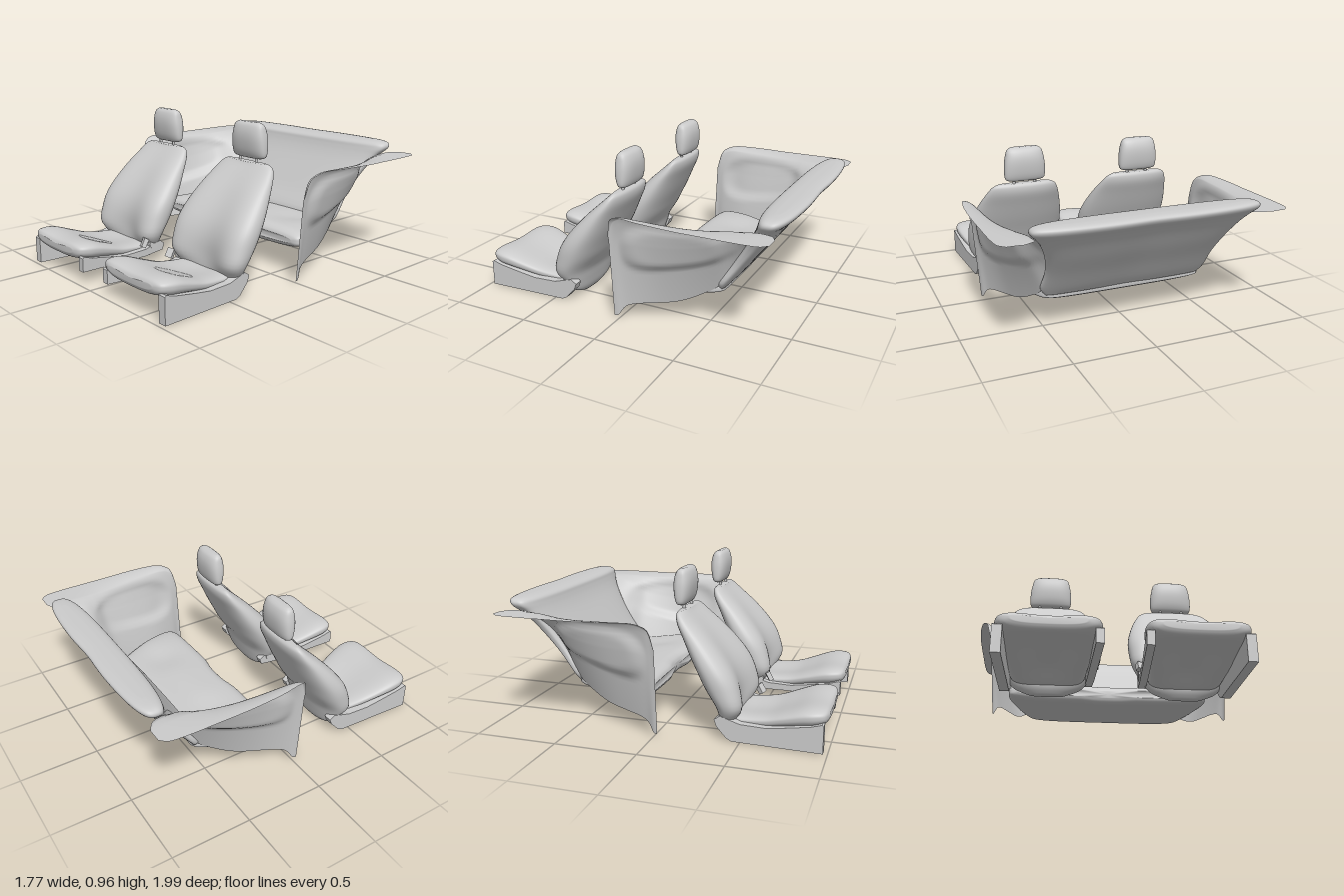
import * as THREE from 'three';

const grey = new THREE.MeshStandardMaterial({ color: 0xcccccc });
const thin = new THREE.MeshStandardMaterial({ color: 0xcccccc, side: THREE.DoubleSide });
const bell = (d) => Math.exp(-d * d);

// Smooth lookup between rows of numbers, u in 0..1
function sample(rows, u) {
  const f = u * (rows.length - 1);
  const i = Math.min(Math.floor(f), rows.length - 2), t = f - i;
  const row = (k) => rows[Math.max(0, Math.min(rows.length - 1, k))];
  return rows[0].map((_, k) => {
    const a = row(i - 1)[k], b = row(i)[k], c = row(i + 1)[k], d = row(i + 2)[k];
    return b + 0.5 * t * (c - a + t * (2 * a - 5 * b + 4 * c - d + t * (3 * (b - c) + d - a)));
  });
}

// Rounded-square point of unit size; a higher power gives squarer corners
function roundSquare(a, power) {
  const c = Math.cos(a), s = Math.sin(a);
  const r = Math.pow(Math.abs(c) ** power + Math.abs(s) ** power, 1 / power);
  return [c / r, s / r];
}

// Closed padded body: point(row, X, Y) places each unit cross-section point
function loft(name, rows, power, point, rings = 36, seg = 56) {
  const pos = [], index = [];
  for (let i = 0; i <= rings; i++) {
    const row = sample(rows, i / rings);
    for (let j = 0; j < seg; j++) {
      const [X, Y] = roundSquare((j / seg) * Math.PI * 2, power);
      pos.push(...point(row, X, Y));
    }
  }
  for (let i = 0; i < rings; i++) for (let j = 0; j < seg; j++) {
    const a = i * seg + j, b = i * seg + ((j + 1) % seg), c = a + seg, d = b + seg;
    index.push(a, c, b, b, c, d);
  }
  pos.push(...point(rows[0], 0, 0), ...point(rows[rows.length - 1], 0, 0));
  const n = (rings + 1) * seg, last = rings * seg;
  for (let j = 0; j < seg; j++) {
    const k = (j + 1) % seg;
    index.push(n, j, k, n + 1, last + k, last + j);
  }
  // Turn the faces outward if the enclosed volume comes out negative
  let volume = 0;
  const P = (i) => new THREE.Vector3().fromArray(pos, i * 3);
  for (let i = 0; i < index.length; i += 3)
    volume += P(index[i]).dot(P(index[i + 1]).cross(P(index[i + 2])));
  if (volume < 0) index.reverse();
  const g = new THREE.BufferGeometry();
  g.setAttribute('position', new THREE.Float32BufferAttribute(pos, 3));
  g.setIndex(index);
  g.computeVertexNormals();
  return mesh(name, g);
}

function mesh(name, geometry, material = grey) {
  const m = new THREE.Mesh(geometry, material);
  m.name = name;
  return m;
}

// Upright plate drawn as [z, y] points, centred on x at its front end and toeing in to the rear
function plate(name, points, width, x) {
  const shape = new THREE.Shape(points.map(([z, y]) => new THREE.Vector2(z, y)));
  const g = new THREE.ExtrudeGeometry(shape, { depth: width, bevelEnabled: false });
  const toe = 0.045 * Math.sign(x);
  g.rotateY(-Math.PI / 2).applyMatrix4(new THREE.Matrix4().makeShear(0, 0, 0, 0, toe, 0));
  g.translate(x + width / 2 - toe * 0.975, 0, 0);
  return mesh(name, g);
}

function frontSeat(side) {
  const seat = new THREE.Group();
  seat.name = side > 0 ? 'leftFrontSeat' : 'rightFrontSeat';

  // Reclined backrest with side bolsters: y, front z, back z, half width, recess
  const back = [
    [0.008, 0.425, 0.385, 0.10, 0], [0.05, 0.45, 0.36, 0.195, 0], [0.12, 0.485, 0.34, 0.25, 0.03],
    [0.20, 0.54, 0.315, 0.30, 0.09], [0.30, 0.525, 0.25, 0.315, 0.085], [0.39, 0.485, 0.205, 0.317, 0.075],
    [0.48, 0.415, 0.16, 0.302, 0.06], [0.58, 0.315, 0.115, 0.272, 0.04], [0.66, 0.22, 0.08, 0.24, 0.02],
    [0.71, 0.16, 0.075, 0.21, 0.01], [0.73, 0.135, 0.09, 0.17, 0],
  ];
  seat.add(loft('backrest', back, 2.4, ([y, zf, zb, hw, dip], X, Z) => {
    const zm = zb + 0.5 * (zf - zb);
    return [X * hw, y, zm + Z * (Z > 0 ? zf - zm : zm - zb) - dip * Math.max(0, Z) * (1 - X * X) ** 2];
  }));

  // Cushion, hollow beneath: z, half width, top y, bottom y
  const cushion = [
    [0.38, 0.18, 0.13, 0.07], [0.45, 0.215, 0.155, 0.05], [0.55, 0.225, 0.16, 0.065],
    [0.65, 0.24, 0.175, 0.08], [0.75, 0.265, 0.21, 0.10], [0.85, 0.285, 0.247, 0.115],
    [0.92, 0.285, 0.258, 0.125], [0.975, 0.26, 0.25, 0.145], [0.995, 0.20, 0.225, 0.175],
  ];
  seat.add(loft('cushion', cushion, 2.7, ([z, hw, top, bottom], X, Y) => {
    const ym = bottom + 0.62 * (top - bottom);
    const y = ym + Y * (Y > 0 ? top - ym : ym - bottom);
    const hollow = 0.06 * Math.max(0, -Y) * bell(((z - 0.7) / 0.2) ** 2);
    return [X * hw, y + (hollow - 0.02 * Math.max(0, Y)) * (1 - X * X) ** 2, z];
  }));

  // Headrest: y, half depth, half width, centre z
  const head = [
    [0.75, 0.02, 0.10, 0.092], [0.762, 0.034, 0.127, 0.092], [0.80, 0.048, 0.134, 0.093],
    [0.86, 0.056, 0.132, 0.094], [0.91, 0.053, 0.124, 0.095], [0.95, 0.038, 0.112, 0.097], [0.967, 0.016, 0.085, 0.10],
  ];
  seat.add(loft('headrest', head, 2.8, ([y, hz, hw, z], X, Z) => [X * hw, y, z + Z * hz], 20, 40));
  for (const x of [-0.07, 0.07]) {
    const post = mesh('headrestPost', new THREE.CylinderGeometry(0.01, 0.01, 0.1, 12));
    post.position.set(x, 0.735, 0.105);
    seat.add(post);
  }

  // Deep outer side cover, slim inner rail
  const edge = [[0.975, 0.17], [0.965, 0.178], [0.9, 0.158], [0.75, 0.132], [0.65, 0.117], [0.5, 0.12], [0.38, 0.155], [0.345, 0.13]];
  seat.add(plate('outerSideCover', [[0.975, 0.01], ...edge, [0.36, 0.09], [0.42, 0.025], [0.45, 0.01]], 0.055, side * 0.266));
  seat.add(plate('innerRail', [[0.975, 0.085], ...edge, [0.36, 0.09], [0.5, 0.075]], 0.045, side * -0.268));

  // Backrest hinge and its lever
  const hinge = mesh('reclineHinge', new THREE.CylinderGeometry(0.035, 0.035, 0.03, 16));
  hinge.rotation.z = Math.PI / 2;
  hinge.position.set(side * -0.255, 0.145, 0.43);
  const lever = mesh('reclineLever', new THREE.BoxGeometry(0.045, 0.06, 0.03));
  lever.rotation.set(-0.5, side * 0.4, 0);
  lever.position.set(side * -0.265, 0.165, 0.505);
  seat.add(hinge, lever);

  seat.position.x = side * 0.4;
  return seat;
}

function rearBench() {
  const bench = new THREE.Group();
  bench.name = 'rearBench';

  // Cushion with two shallow seats and a notch in the front: z, half width, top y, bottom y
  const cushion = [
    [-0.575, 0.49, 0.245, 0.205], [-0.53, 0.525, 0.275, 0.185], [-0.4, 0.585, 0.29, 0.18], [-0.3, 0.62, 0.30, 0.175],
    [-0.2, 0.645, 0.30, 0.168], [-0.13, 0.65, 0.295, 0.165], [-0.09, 0.635, 0.275, 0.18], [-0.075, 0.59, 0.25, 0.205],
  ];
  bench.add(loft('rearCushion', cushion, 4, ([z, hw, top, bottom], X, Y) => {
    const x = X * hw, up = Math.max(0, Y);
    const dip = 0.02 * up * bell((Math.abs(x) - 0.34) / 0.13) * bell((z + 0.33) / 0.12);
    const notch = 0.022 * bell((x / 0.14) ** 2) * bell((z + 0.075) / 0.08);
    return [x, (top + bottom) / 2 + (Y * (top - bottom)) / 2 - dip, z - notch];
  }, 36, 88));

  // Leaning back with a wide rolled top: y, front z, back z, half width
  const back = [
    [0.23, -0.54, -0.585, 0.50], [0.28, -0.52, -0.63, 0.535], [0.40, -0.60, -0.72, 0.535], [0.52, -0.675, -0.815, 0.56],
    [0.62, -0.735, -0.89, 0.605], [0.68, -0.765, -0.94, 0.65], [0.72, -0.78, -0.98, 0.688],
    [0.748, -0.79, -0.993, 0.687], [0.764, -0.82, -0.975, 0.65], [0.77, -0.87, -0.93, 0.56],
  ];
  bench.add(loft('rearBackrest', back, 3.2, ([y, zf, zb, hw], X, Z) => {
    const dent = 0.01 * Math.max(0, -Z) * bell((X * hw) / 0.15);
    return [X * hw, y, (zf + zb) / 2 + (Z * (zf - zb)) / 2 + dent];
  }, 36, 80));
  return bench;
}

// Thin side trim: sloping wall with an armrest hollow, flaring to a ledge on top
function sideTrim(side) {
  // z, bottom y, top y, wall x at the bottom, wall x under the ledge, ledge outer x
  const rows = [
    [0.025, 0.03, 0.55, 0.735, 0.775, 0.785], [0.0, 0.035, 0.655, 0.73, 0.775, 0.81], [-0.04, 0.09, 0.69, 0.71, 0.775, 0.835],
    [-0.1, 0.11, 0.705, 0.685, 0.77, 0.855], [-0.2, 0.12, 0.705, 0.645, 0.76, 0.873], [-0.33, 0.14, 0.703, 0.60, 0.75, 0.882],
    [-0.45, 0.19, 0.70, 0.56, 0.735, 0.884], [-0.57, 0.27, 0.70, 0.52, 0.71, 0.884], [-0.65, 0.42, 0.70, 0.51, 0.69, 0.884],
    [-0.73, 0.56, 0.70, 0.545, 0.675, 0.884], [-0.82, 0.66, 0.70, 0.63, 0.685, 0.882], [-0.91, 0.69, 0.70, 0.68, 0.705, 0.872],
    [-0.955, 0.697, 0.70, 0.75, 0.77, 0.835],
  ];
  const nu = 60, nv = 32;
  const g = new THREE.PlaneGeometry(1, 1, nu, nv);
  const p = g.attributes.position;
  for (let i = 0; i < p.count; i++) {
    const [z, low, high, wallLow, wallHigh, outer] = sample(rows, p.getX(i) + 0.5);
    const v = p.getY(i) + 0.5;
    const rise = Math.min(1, v / 0.75), flare = Math.max(0, (v - 0.6) / 0.4);
    const y = low + (high - low) * (0.9 * rise + 0.1 * Math.sin((flare * Math.PI) / 2));
    // The hollow narrows and climbs towards the rear
    const along = THREE.MathUtils.clamp((-z - 0.05) / 0.6, 0, 1);
    const oval = Math.abs((z + 0.36) / 0.31) ** 3 + Math.abs((y - 0.48 - 0.07 * along) / (0.16 - 0.06 * along)) ** 3;
    const hollow = 0.03 * (1 - THREE.MathUtils.smoothstep(oval, 0.3, 1.3)) * (1 - flare);
    const wall = wallLow + (wallHigh - wallLow) * rise;
    p.setXYZ(i, side * (wall + (outer - wallHigh) * flare ** 1.6 + hollow), y, z);
  }
  g.computeVertexNormals();
  return mesh(side > 0 ? 'leftSideTrim' : 'rightSideTrim', g, thin);
}

export function createModel() {
  const model = new THREE.Group();
  model.name = 'carSeats';
  for (const side of [1, -1]) model.add(frontSeat(side), sideTrim(side));
  model.add(rearBench());
  return model;
}
